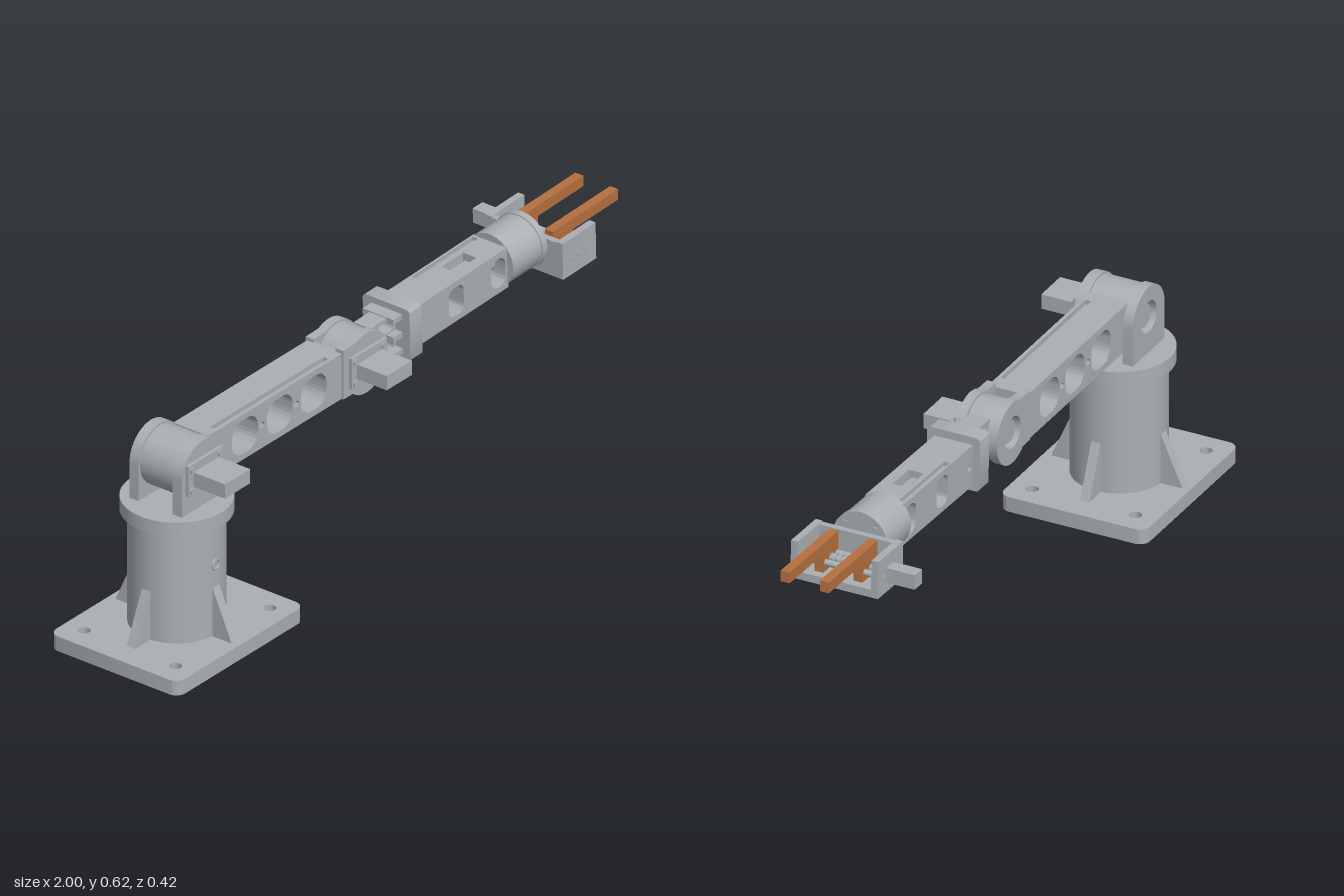
import * as THREE from 'three';
import { toCreasedNormals } from 'three/addons/utils/BufferGeometryUtils.js';

const grey = new THREE.MeshStandardMaterial({ color: 0xabafb3 });
grey.name = 'machined grey';
const copper = new THREE.MeshStandardMaterial({ color: 0xb5703f });
copper.name = 'copper brown';

function add(parent, name, geometry, x = 0, y = 0, z = 0, material = grey) {
  const mesh = new THREE.Mesh(geometry, material);
  mesh.name = name;
  mesh.position.set(x, y, z);
  parent.add(mesh);
  return mesh;
}

// Box given by its limits
function box(parent, name, x0, x1, y0, y1, z0, z1, material = grey) {
  return add(parent, name, new THREE.BoxGeometry(x1 - x0, y1 - y0, z1 - z0),
    (x0 + x1) / 2, (y0 + y1) / 2, (z0 + z1) / 2, material);
}

// Cylinder along a chosen axis
function rod(parent, name, r, length, axis, x, y, z, sides = 40) {
  const g = new THREE.CylinderGeometry(r, r, length, sides);
  if (axis === 'x') g.rotateZ(Math.PI / 2);
  if (axis === 'z') g.rotateX(Math.PI / 2);
  return add(parent, name, g, x, y, z);
}

// Rounded rectangle outline for a Shape or a Path
function rounded(path, cx, cy, hw, hh, r) {
  path.moveTo(cx - hw + r, cy - hh);
  path.lineTo(cx + hw - r, cy - hh);
  path.absarc(cx + hw - r, cy - hh + r, r, -Math.PI / 2, 0, false);
  path.absarc(cx + hw - r, cy + hh - r, r, 0, Math.PI / 2, false);
  path.absarc(cx - hw + r, cy + hh - r, r, Math.PI / 2, Math.PI, false);
  path.absarc(cx - hw + r, cy - hh + r, r, Math.PI, Math.PI * 1.5, false);
  return path;
}
const circle = (cx, cy, r) => new THREE.Path().absarc(cx, cy, r, 0, Math.PI * 2, false);

// Slab of a shape between two z values
function slab(parent, name, shape, holes, z0, z1) {
  shape.holes = holes;
  const g = new THREE.ExtrudeGeometry(shape, { depth: z1 - z0, bevelEnabled: false, curveSegments: 12 });
  return add(parent, name, toCreasedNormals(g, 0.6), 0, 0, z0);
}

// Straight beam outline with an optional notch in its top edge
function beam(x0, x1, y0, y1, notch) {
  const s = new THREE.Shape();
  s.moveTo(x0, y0);
  s.lineTo(x1, y0);
  s.lineTo(x1, y1);
  if (notch) {
    const [a, b, d] = notch;
    s.lineTo(b, y1);
    s.lineTo(b, y1 - d);
    s.lineTo(a, y1 - d);
    s.lineTo(a, y1);
  }
  s.lineTo(x0, y1);
  s.closePath();
  return s;
}

// Servo: screwed flange plate and projecting body
function servo(parent, name, x, y, z, length) {
  const g = new THREE.Group();
  g.name = name;
  g.position.set(x, y, z);
  parent.add(g);
  box(g, 'servoFlange', -0.072, 0.072, -0.045, 0.045, 0, 0.01);
  box(g, 'servoBody', -0.052, 0.052, -0.021, 0.021, 0, length);
  for (const sx of [-1, 1]) for (const sy of [-1, 1])
    rod(g, 'servoScrew', 0.009, 0.008, 'z', sx * 0.058, sy * 0.031, 0.011, 12);
}

export function createModel() {
  const model = new THREE.Group();
  model.name = 'robotArm';
  const bx = -0.738;

  // Base plate with bolt holes
  const bolts = [];
  for (const sx of [-1, 1]) for (const sz of [-1, 1]) bolts.push(circle(sx * 0.195, sz * 0.15, 0.017));
  const plate = slab(model, 'basePlate', rounded(new THREE.Shape(), 0, 0, 0.262, 0.212, 0.03), bolts, 0, 0.043);
  plate.rotation.x = -Math.PI / 2;
  plate.position.set(bx, 0, 0);

  // Column, flange and cable port
  rod(model, 'column', 0.128, 0.33, 'y', bx, 0.207, 0, 64);
  rod(model, 'columnFlange', 0.148, 0.04, 'y', bx, 0.39, 0, 64);
  add(model, 'cablePort', new THREE.TorusGeometry(0.014, 0.003, 8, 24), bx, 0.25, 0.128);

  // Four triangular ribs
  for (let i = 0; i < 4; i++) {
    const s = new THREE.Shape();
    s.moveTo(0.11, 0.04);
    s.lineTo(0.192, 0.04);
    s.lineTo(0.128, 0.185);
    s.lineTo(0.11, 0.185);
    const g = new THREE.ExtrudeGeometry(s, { depth: 0.027, bevelEnabled: false });
    g.translate(0, 0, -0.0135);
    add(model, 'rib', g, bx, 0, 0).rotation.y = i * Math.PI / 2;
  }

  // Shoulder cheeks with hub opening at the back
  for (const side of [-1, 1]) {
    const s = new THREE.Shape();
    s.moveTo(bx - 0.088, 0.41);
    s.lineTo(bx + 0.088, 0.41);
    s.lineTo(bx + 0.088, 0.513);
    s.absarc(bx, 0.513, 0.088, 0, Math.PI, false);
    s.closePath();
    const z0 = side > 0 ? 0.056 : -0.086;
    slab(model, 'shoulderCheek', s, side < 0 ? [circle(bx, 0.513, 0.045)] : [], z0, z0 + 0.03);
  }
  rod(model, 'shoulderDrum', 0.083, 0.11, 'z', bx, 0.513, 0);
  rod(model, 'shoulderHub', 0.032, 0.02, 'z', bx, 0.513, -0.065);
  servo(model, 'shoulderServo', bx, 0.511, 0.086, 0.113);

  // Upper arm in layers, giving the top cable groove
  const armHoles = () => [
    ...[-0.527, -0.383, -0.243].map(x => rounded(new THREE.Path(), x, 0.511, 0.053, 0.049, 0.04)),
    ...[-0.455, -0.313].map(x => circle(x, 0.511, 0.009))];
  for (const [z0, z1, notch] of [[-0.058, 0.03], [0.03, 0.046, [-0.64, -0.17, 0.013]], [0.046, 0.056]])
    slab(model, 'upperArm', beam(-0.68, -0.12, 0.444, 0.577, notch), armHoles(), z0, z1);

  // Elbow fork
  const ex = -0.032, ey = 0.511;
  for (const side of [-1, 1]) {
    const s = new THREE.Shape();
    s.moveTo(-0.127, 0.444);
    s.lineTo(ex - 0.057, 0.444);
    s.absarc(ex, ey, 0.088, -Math.PI * 0.725, Math.PI * 0.66, false);
    s.lineTo(-0.127, 0.587);
    s.closePath();
    const z0 = side > 0 ? 0.036 : -0.062;
    slab(model, 'elbowCheek', s, side < 0 ? [circle(ex, ey, 0.045)] : [], z0, z0 + 0.026);
  }
  rod(model, 'elbowDrum', 0.082, 0.07, 'z', ex, ey, 0);
  rod(model, 'elbowHub', 0.032, 0.02, 'z', ex, ey, -0.042);
  servo(model, 'elbowServo', ex, ey, 0.062, 0.108);

  // Forearm assembly, slightly raised about the elbow
  const fore = new THREE.Group();
  fore.name = 'forearm';
  fore.position.set(ex, ey, 0);
  fore.rotation.z = 0.03;
  model.add(fore);
  const f = new THREE.Group();
  f.name = 'forearmParts';
  f.position.x = -ex;
  fore.add(f);

  // Neck and collar
  slab(f, 'neck', beam(0.03, 0.135, -0.052, 0.06),
    [0.032, -0.028].map(y => rounded(new THREE.Path(), 0.09, y, 0.031, 0.018, 0.016)), -0.028, 0.028);
  for (const y of [-0.047, 0.002, 0.055]) box(f, 'neckWeb', 0.095, 0.135, y - 0.008, y + 0.008, -0.05, 0.05);
  const collar = slab(f, 'collar', rounded(new THREE.Shape(), 0, 0, 0.077, 0.077, 0.012), [], 0, 0.05);
  collar.rotation.y = Math.PI / 2;
  collar.position.set(0.132, 0.004, -0.002);

  // Forearm beam in layers, giving the slots on top
  const foreHoles = () => [
    rounded(new THREE.Path(), 0.35, 0, 0.031, 0.042, 0.022),
    rounded(new THREE.Path(), 0.524, 0, 0.03, 0.042, 0.028), circle(0.2, 0, 0.009)];
  for (const [z0, z1, notch] of [
    [-0.058, -0.052], [-0.052, -0.036, [0.3, 0.553, 0.012]], [-0.036, -0.022],
    [-0.022, 0.022, [0.385, 0.475, 0.03]], [0.022, 0.054]])
    slab(f, 'forearmBeam', beam(0.175, 0.565, -0.059, 0.059, notch), foreHoles(), z0, z1);
  box(f, 'slotInsert', 0.395, 0.465, 0.02, 0.045, -0.008, 0.008);
  rod(f, 'wristShaft', 0.02, 0.1, 'x', 0.53, 0, 0, 24);

  // Wrist housing
  rod(f, 'wristHousing', 0.076, 0.118, 'x', 0.62, 0.004, -0.002, 48);
  rod(f, 'wristRim', 0.079, 0.02, 'x', 0.688, 0.004, -0.002, 48);

  // Open gripper box
  box(f, 'gripperFloor', 0.698, 0.835, -0.076, -0.054, -0.127, 0.127);
  box(f, 'gripperBackWall', 0.698, 0.716, -0.076, 0.028, -0.127, 0.127);
  for (const s of [-1, 1]) {
    box(f, 'gripperSideWall', 0.698, 0.835, -0.076, 0.031, s * 0.117 - 0.01, s * 0.117 + 0.01);
    rod(f, 'wristScrew', 0.007, 0.006, 'x', 0.699, 0.044, s * 0.043, 12);
  }
  box(f, 'gripperServo', 0.75, 0.79, -0.048, -0.006, -0.21, -0.125);

  // Guide rods and ribbed lead screw
  for (const x of [0.738, 0.768, 0.8]) rod(f, 'guideRod', 0.009, 0.258, 'z', x, -0.028, 0, 16);
  for (let i = -6; i <= 6; i++) rod(f, 'leadScrewRing', 0.014, 0.01, 'z', 0.768, -0.028, i * 0.016, 16);

  // Gripper fingers
  for (const s of [-1, 1]) {
    const z = s * 0.057;
    box(f, 'fingerCarriage', 0.73, 0.812, -0.053, 0.003, z - 0.013, z + 0.013, copper);
    box(f, 'finger', 0.73, 1, 0.001, 0.032, z - 0.013, z + 0.013, copper);
  }
  return model;
}
